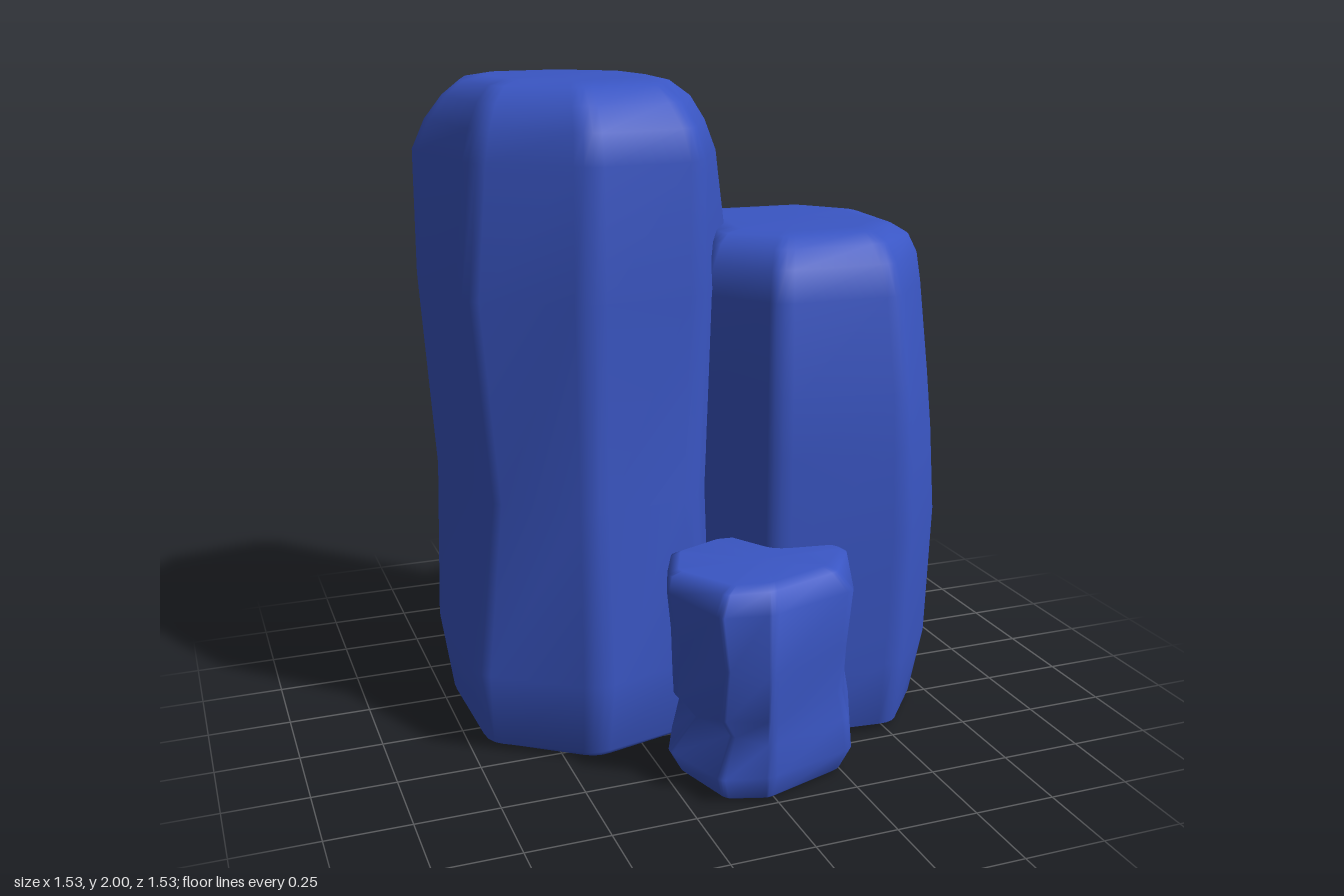
import * as THREE from 'three';

const stone = new THREE.MeshStandardMaterial({ color: 0x3a56c4 });
stone.name = 'blueStone';

// Rounds each corner of a closed ring with a short quadratic curve.
function roundRing(corners, cut, steps) {
  const n = corners.length, out = [];
  corners.forEach((c, i) => {
    const a = c.clone().lerp(corners[(i + n - 1) % n], cut);
    const b = c.clone().lerp(corners[(i + 1) % n], cut);
    out.push(...new THREE.QuadraticBezierCurve3(a, c, b).getPoints(steps));
  });
  return out;
}

// Lofts a stone through rows of [y, scale of every corner, or one scale for all].
function rock(name, [cx, cz], outline, rows, cut) {
  const rings = rows.map(([y, ...s]) => roundRing(outline.map(([x, z], i) => {
    const k = 1.015 * (s.length > 1 ? s[i] : s[0]);
    return new THREE.Vector3(cx + (x - cx) * k, y, cz + (z - cz) * k);
  }), cut, 3));
  const n = rings[0].length, last = rings.length - 1;
  const points = rings.flat(), index = [];
  for (let r = 0; r < last; r++) {
    for (let i = 0; i < n; i++) {
      const j = (i + 1) % n;
      const a = r * n + i, b = r * n + j, c = b + n, d = a + n;
      index.push(b, a, d, b, d, c);
    }
  }
  // Flat top and underside
  const bottom = points.push(new THREE.Vector3(cx, 0, cz)) - 1;
  const top = points.push(new THREE.Vector3(cx, rows[last][0], cz)) - 1;
  for (let i = 0; i < n; i++) {
    const j = (i + 1) % n;
    index.push(bottom, i, j, top, last * n + j, last * n + i);
  }
  const geometry = new THREE.BufferGeometry().setFromPoints(points);
  geometry.setIndex(index);
  geometry.computeVertexNormals();
  const mesh = new THREE.Mesh(geometry, stone);
  mesh.name = name;
  return mesh;
}

export function createModel() {
  const model = new THREE.Group();
  model.name = 'rockCluster';

  // Tall stone, waisted below the middle and bulging above it
  model.add(rock('tallRock', [-0.32, -0.2],
    [[-0.63, -0.68], [-0.2, -0.77], [0.1, -0.5], [0.125, -0.02],
      [-0.05, 0.31], [-0.42, 0.4], [-0.73, 0.17], [-0.765, -0.33]],
    [
      [0, 0.8],
      [0.004, 0.85],
      [0.02, 0.87, 0.86, 0.88, 0.88, 0.88, 0.87, 0.91, 0.87],
      [0.27, 0.94, 1, 1, 0.98, 0.98, 1, 1.02, 0.95],
      [0.78, 0.86, 0.86, 0.98, 0.98, 0.92, 0.89, 0.84, 0.92],
      [1.4, 1.01, 0.87, 0.95, 1.05, 0.97, 0.9, 1, 1],
      [1.78, 0.96, 0.92, 0.87, 0.95, 0.97, 0.89, 0.89, 1],
      [1.87, 0.92, 0.91, 0.85, 0.88, 0.91, 0.88, 0.84, 0.91],
      [1.94, 0.83, 0.81, 0.78, 0.79, 0.81, 0.79, 0.77, 0.79],
      [1.985, 0.71, 0.69, 0.67, 0.66, 0.68, 0.67, 0.67, 0.67],
      [2, 0.52],
    ], 0.13));

  // Medium stone, leaning in towards the top of its outer front corner
  model.add(rock('mediumRock', [0.37, 0],
    [[0.2, -0.48], [0.58, -0.48], [0.765, -0.23], [0.74, 0.27],
      [0.53, 0.49], [0.12, 0.43], [-0.02, 0.2], [0.09, -0.38]],
    [
      [0, 0.82],
      [0.004, 0.86],
      [0.02, 0.9, 0.9, 0.86, 0.88, 0.92, 0.95, 0.96, 0.92],
      [0.23, 0.96, 0.96, 1, 0.97, 0.96, 0.99, 1, 0.97],
      [0.65, 1, 0.98, 0.94, 1, 1, 1, 0.99, 1],
      [0.92, 0.94, 0.93, 0.92, 0.96, 0.98, 0.99, 0.99, 0.93],
      [1.1, 0.96, 0.99, 0.92, 0.92, 0.96, 0.99, 0.99, 0.97],
      [1.38, 0.98, 0.98, 0.95, 0.85, 0.87, 0.97, 1, 0.97],
      [1.47, 0.88, 0.88, 0.92, 0.82, 0.8, 0.91, 0.97, 0.95],
      [1.525, 0.79, 0.8, 0.82, 0.76, 0.72, 0.82, 0.9, 0.89],
      [1.553, 0.66, 0.66, 0.67, 0.65, 0.6, 0.69, 0.82, 0.8],
      [1.56, 0.5, 0.5, 0.5, 0.5, 0.48, 0.55, 0.65, 0.65],
    ], 0.12));

  // Small stone with a notch low on one side
  model.add(rock('smallRock', [0.05, 0.5],
    [[-0.24, 0.49], [-0.18, 0.33], [-0.02, 0.265], [0.21, 0.29],
      [0.345, 0.49], [0.27, 0.67], [-0.03, 0.765], [-0.17, 0.72]],
    [
      [0, 0.8],
      [0.012, 0.86],
      [0.08, 0.99, 0.95, 0.95, 0.98, 1, 0.98, 0.92, 0.95],
      [0.18, 0.72, 0.88, 0.95, 0.98, 0.98, 0.94, 0.93, 0.7],
      [0.26, 0.93, 0.95, 0.95, 0.98, 0.93, 0.87, 0.96, 0.93],
      [0.4, 0.89, 0.97, 1, 0.98, 0.9, 0.9, 1, 0.84],
      [0.58, 1, 1, 1, 1, 0.94, 0.96, 0.94, 1],
      [0.632, 0.99, 0.96, 0.96, 0.96, 0.93, 0.78, 0.78, 0.85],
      [0.645, 0.88, 0.86, 0.86, 0.86, 0.86, 0.64, 0.64, 0.7],
    ], 0.08));

  return model;
}
